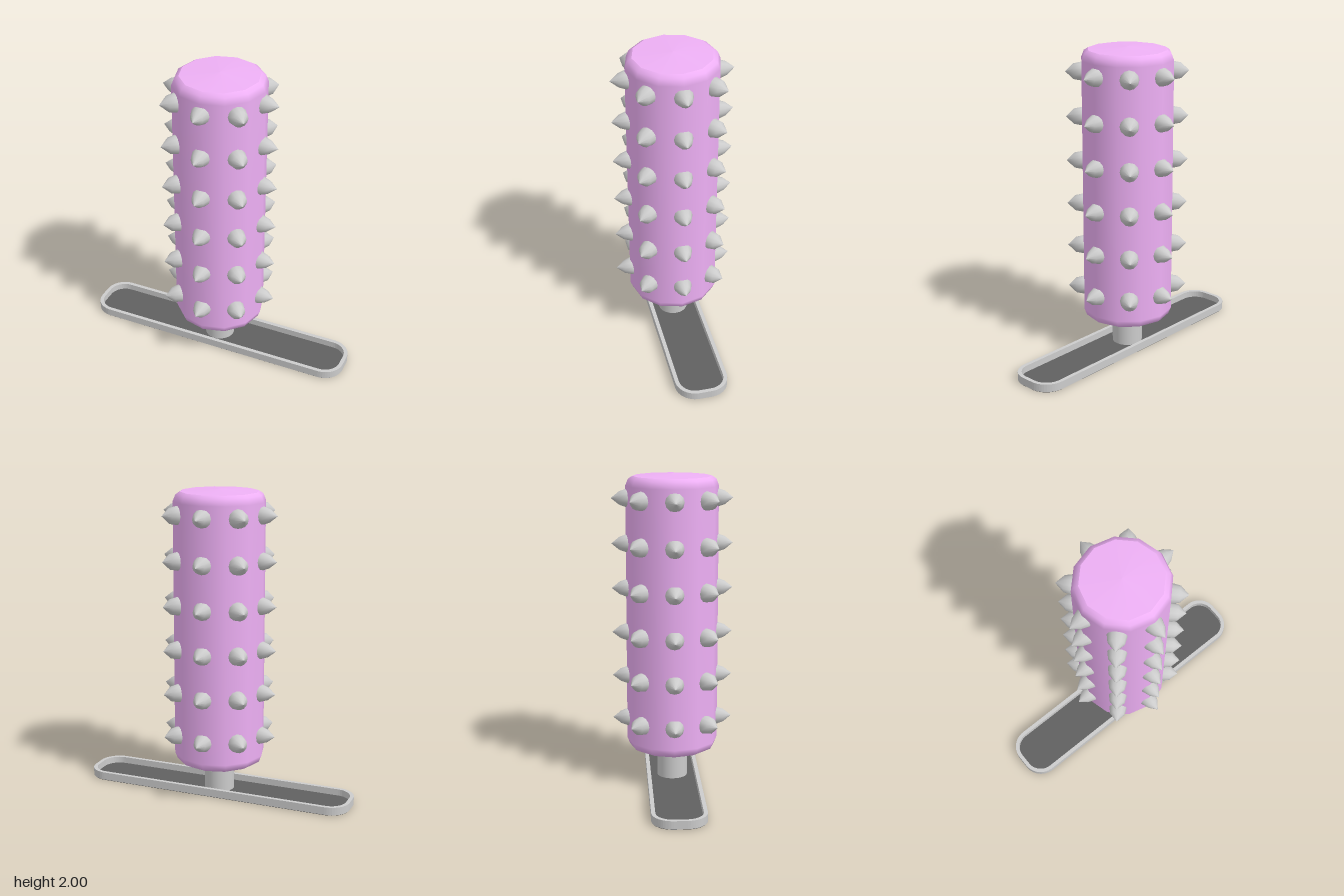
import * as THREE from 'three';

const grey = new THREE.MeshStandardMaterial({ color: 0xcccccc });
const pink = new THREE.MeshStandardMaterial({ color: 0xeeb0f5 });
const dark = new THREE.MeshStandardMaterial({ color: 0x606060 });

function add(parent, name, geometry, material) {
  const mesh = new THREE.Mesh(geometry, material);
  mesh.name = name;
  parent.add(mesh);
  return mesh;
}

const lathe = (points, sides) =>
  new THREE.LatheGeometry(points.map(([r, y]) => new THREE.Vector2(r, y)), sides);

// Rounded rectangle outline, inset from the full footprint of the base
function outline(inset, Type = THREE.Shape) {
  const w = 0.91 - inset, d = 0.17 - inset, r = 0.13 - inset;
  const s = new Type();
  s.absarc(w - r, d - r, r, 0, Math.PI / 2);
  s.absarc(r - w, d - r, r, Math.PI / 2, Math.PI);
  s.absarc(r - w, r - d, r, Math.PI, Math.PI * 1.5);
  s.absarc(w - r, r - d, r, Math.PI * 1.5, Math.PI * 2);
  s.closePath();
  return s;
}

// Extrude an outline upward from y0 to y1
function slab(shape, y0, y1) {
  const g = new THREE.ExtrudeGeometry(shape, { depth: y1 - y0, bevelEnabled: false, curveSegments: 6 });
  return g.rotateX(-Math.PI / 2).translate(0, y0, 0);
}

export function createModel() {
  const model = new THREE.Group();
  model.name = 'spikedRoller';

  // Shallow tray base
  const base = new THREE.Group();
  base.name = 'base';
  model.add(base);
  const rim = outline(0);
  rim.holes.push(outline(0.025, THREE.Path));
  add(base, 'baseRim', slab(rim, 0.004, 0.055), grey);
  add(base, 'basePlate', slab(outline(0.004), 0, 0.012), dark);

  // Post between base and roller
  add(model, 'post', new THREE.CylinderGeometry(0.098, 0.098, 0.245, 24).translate(0, 0.1275, 0), grey);

  // Twelve-sided roller with rounded ends and a slightly domed top
  const roller = new THREE.Group();
  roller.name = 'roller';
  model.add(roller);
  add(roller, 'rollerBottom', lathe([[0, 0.21], [0.245, 0.21]], 12), pink);
  add(roller, 'rollerSide', lathe([
    [0.245, 0.21], [0.278, 0.228], [0.295, 0.27],
    [0.295, 1.925], [0.278, 1.967], [0.25, 1.985],
  ], 12), pink);
  add(roller, 'rollerTop', lathe([[0.25, 1.985], [0, 2.0]], 12), pink);

  // Six rings of eight pointed studs; the diagonal ones are a little blunter
  const studs = new THREE.Group();
  studs.name = 'studs';
  model.add(studs);
  const stud = shoulder =>
    lathe([[0.05, 0.22], [0.06, 0.285], [shoulder, 0.335], [0, 0.387]], 12).rotateX(Math.PI / 2);
  const straight = stud(0.042), diagonal = stud(0.05);
  for (let row = 0; row < 6; row++) {
    for (let i = 0; i < 8; i++) {
      const mesh = add(studs, 'stud', i % 2 ? diagonal : straight, grey);
      mesh.position.y = 0.412 + row * 0.287;
      mesh.rotation.y = i * Math.PI / 4;
    }
  }
  return model;
}
